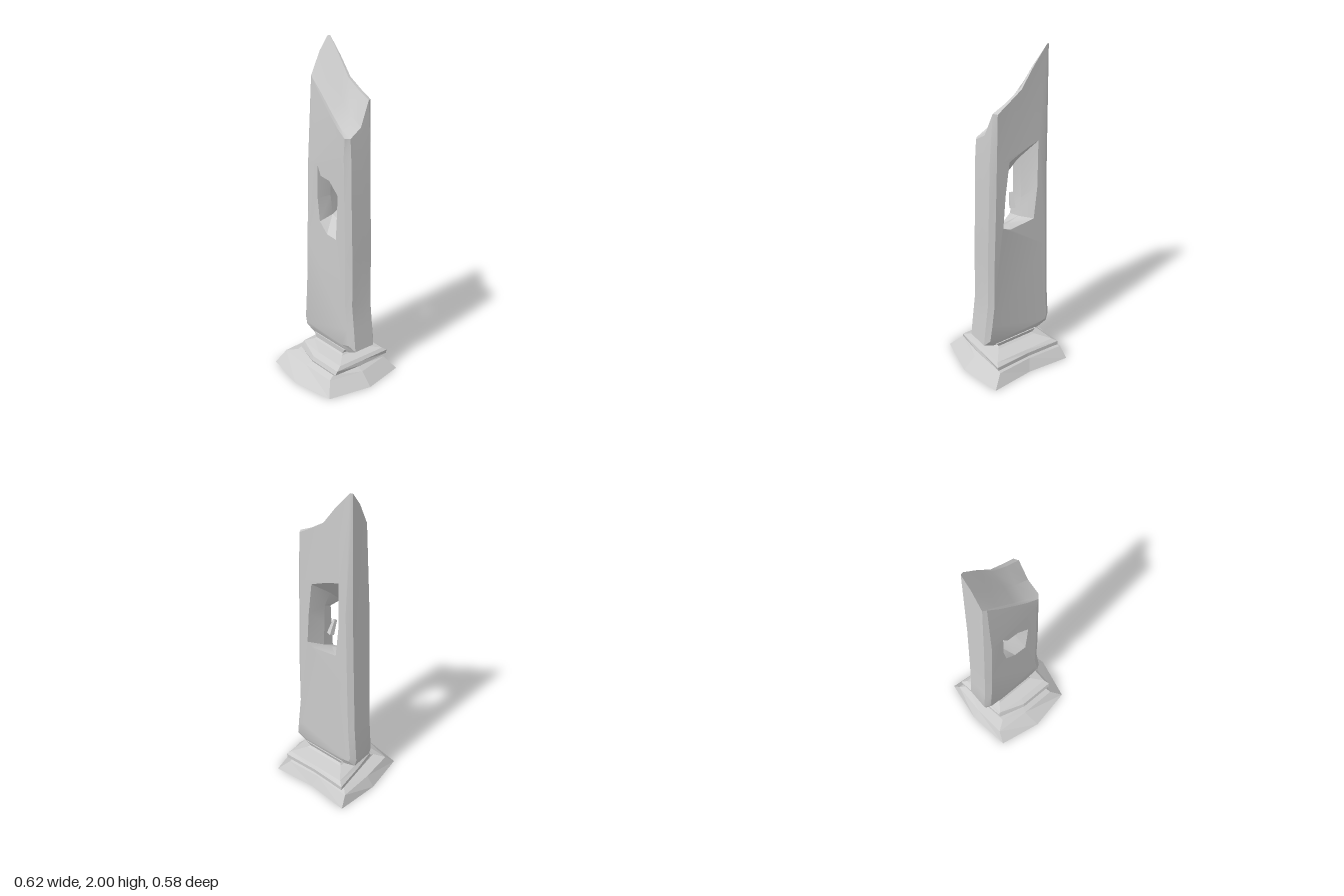
import * as THREE from 'three';
import { toCreasedNormals } from 'three/addons/utils/BufferGeometryUtils.js';

const grey = () => new THREE.MeshStandardMaterial({ color: 0xcccccc });

// Quads joining consecutive closed loops of [x, y, z] points
function strip(out, loops) {
  for (let k = 0; k < loops.length - 1; k++) {
    const a = loops[k], b = loops[k + 1], n = a.length;
    for (let i = 0; i < n; i++) {
      const j = (i + 1) % n;
      out.push(...a[i], ...b[i], ...b[j], ...a[i], ...b[j], ...a[j]);
    }
  }
}

// Fills a loop, with an optional hole, in the plane picked by two axes
function cap(out, loop, hole, flip, u = 0, v = 1) {
  const to2 = (p) => new THREE.Vector2(p[u], p[v]);
  const all = [...loop, ...hole];
  const faces = THREE.ShapeUtils.triangulateShape(loop.map(to2), hole.length ? [hole.map(to2)] : []);
  for (const [a, b, c] of faces) {
    out.push(...all[a], ...all[flip ? c : b], ...all[flip ? b : c]);
  }
}

function geometry(out) {
  const g = new THREE.BufferGeometry();
  g.setAttribute('position', new THREE.Float32BufferAttribute(out, 3));
  g.computeVertexNormals();
  return g;
}

function slab() {
  // Outline, counterclockwise: bottom and right edge, broken top, left edge
  const right = [[-0.17, 0.185], [0.16, 0.185], [0.225, 0.215], [0.21, 0.35], [0.192, 0.5],
    [0.19, 0.8], [0.18, 1.1], [0.172, 1.4]];
  const left = [[-0.21, 1.3], [-0.225, 0.8], [-0.235, 0.5], [-0.252, 0.26], [-0.24, 0.21]];
  const tops = {
    front: [[0.165, 1.5], [0.08, 1.54], [0, 1.61], [-0.1, 1.71], [-0.19, 1.79]],
    mid: [[0.16, 1.55], [0.08, 1.6], [0, 1.68], [-0.1, 1.8], [-0.195, 1.92]],
    back: [[0.15, 1.69], [0.07, 1.73], [-0.02, 1.79], [-0.1, 1.9], [-0.2, 2]],
  };
  const loop = (top, z, inset, topInset, lean = 0) => {
    const side = ([x, y]) => [x - Math.sign(x) * inset,
      y + (inset ? 0.4 * Math.max(0, 0.3 - y) : 0), z];
    const crest = ([x, y], i) => [x - Math.sign(x) * (i % 4 ? 0 : topInset), y, z - lean * i];
    return [...right.map(side), ...tops[top].map(crest), ...left.map(side)];
  };
  const loops = [
    loop('front', 0.042, 0.035, 0.02, 0.006),
    loop('front', 0.018, 0, 0, 0.003),
    loop('mid', -0.06, 0, 0),
    loop('back', -0.123, 0, 0),
    loop('back', -0.148, 0.03, 0.015, -0.005),
  ];

  // Window slanting upwards to the back, clockwise, narrowest in the middle
  const ring = (points, z) => points.map(([x, y]) => [x, y, z]);
  const holeFront = ring([[-0.095, 1.3], [-0.065, 1.24], [0.01, 1.23], [0.085, 1.16], [0.08, 1.05],
    [0.07, 0.89], [-0.01, 0.9], [-0.075, 0.96], [-0.095, 1.1]], 0.041);
  const holeMid = ring([[-0.08, 1.36], [-0.05, 1.34], [0.01, 1.32], [0.05, 1.22], [0.055, 1.1],
    [0.06, 0.945], [0, 0.96], [-0.07, 0.985], [-0.088, 1.1]], -0.05);
  const holeBack = ring([[-0.13, 1.48], [-0.07, 1.46], [0, 1.43], [0.06, 1.4], [0.085, 1.2],
    [0.1, 1.0], [0.05, 0.98], [-0.11, 1.0], [-0.13, 1.2]], -0.147);

  const out = [];
  strip(out, loops);
  strip(out, [holeFront, holeMid, holeBack]);
  cap(out, loops[0], holeFront, false);
  cap(out, loops[4], holeBack, true);
  return toCreasedNormals(geometry(out), 0.5);
}

function base() {
  // Tiers: y, x min, x max, z min, z max, bulge of back, right, front, left, then
  // how far the front left corner is worn away in x and z
  const tiers = [
    [0, -0.28, 0.255, -0.293, 0.24, -0.025, 0.056, 0.05, 0.034, 0, 0],
    [0.07, -0.265, 0.19, -0.245, 0.185, -0.015, 0.045, 0, 0.01, 0.01, 0.01],
    [0.09, -0.22, 0.18, -0.205, 0.15, 0, 0.015, 0, 0, 0.03, 0.02],
    [0.1, -0.24, 0.205, -0.25, 0.155, -0.01, 0.01, 0, 0, 0.05, 0.05],
    [0.125, -0.24, 0.21, -0.25, 0.145, -0.01, 0, 0, 0, 0.05, 0.05],
    [0.142, -0.21, 0.195, -0.225, 0.11, 0, 0, 0, 0, 0.03, 0.02],
    [0.157, -0.14, 0.13, -0.14, 0.04, 0, 0, 0, 0, 0, 0],
    [0.166, -0.13, 0.12, -0.125, 0.03, 0, 0, 0, 0, 0, 0],
    [0.195, -0.15, 0.14, -0.135, 0.03, 0, 0, 0, 0, 0, 0],
  ];
  const loops = tiers.map(([y, x0, x1, z0, z1, b, r, f, l, wx, wz]) => {
    const cx = (x0 + x1) / 2, cz = (z0 + z1) / 2;
    return [[x0, y, z0], [cx, y, z0 - b], [x1, y, z0], [x1 + r, y, cz],
      [x1, y, z1], [cx, y, z1 + f], [x0 + wx, y, z1 - wz], [x0 - l + wx / 2, y, cz]];
  });
  const out = [];
  strip(out, loops);
  cap(out, loops[0], [], false, 0, 2);
  cap(out, loops[loops.length - 1], [], true, 0, 2);
  return geometry(out);
}

export function createModel() {
  const model = new THREE.Group();
  const add = (name, geo, flat) => {
    const mesh = new THREE.Mesh(geo, grey());
    mesh.name = name;
    mesh.material.flatShading = flat;
    model.add(mesh);
    return mesh;
  };
  add('stoneSlab', slab(), false);
  add('steppedBase', base(), true);

  // Small crystal floating in the window
  const crystal = add('floatingCrystal', new THREE.CylinderGeometry(0.4, 0.7, 1, 4), true);
  crystal.scale.set(0.03, 0.09, 0.03);
  crystal.position.set(-0.016, 1.11, -0.06);
  crystal.rotation.set(0.3, 0.5, 0.1);
  return model;
}
